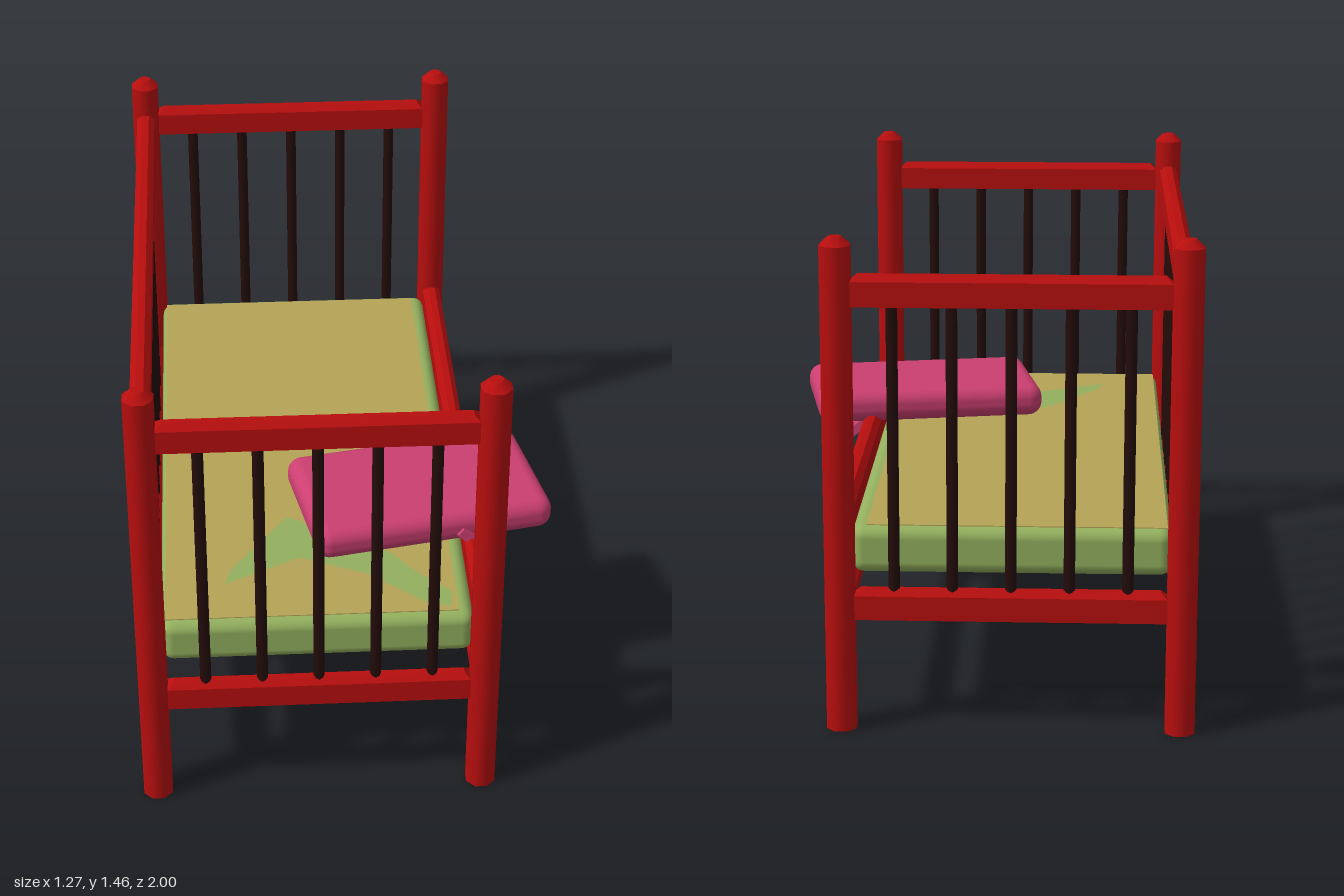
import * as THREE from 'three';
import { RoundedBoxGeometry } from 'three/addons/geometries/RoundedBoxGeometry.js';

const paint = (name, color) => {
  const m = new THREE.MeshStandardMaterial({ color });
  m.name = name;
  return m;
};

export function createModel() {
  const bed = new THREE.Group();
  bed.name = 'cot';
  const red = paint('red frame', 0xb80e0e);
  const dark = paint('dark slats', 0x230c0a);
  const green = paint('green mattress', 0x93b05e);
  const tan = paint('tan sheet', 0xb5a356);
  const pink = paint('pink cushion', 0xcb3f70);

  const add = (name, geometry, material, x, y, z) => {
    const mesh = new THREE.Mesh(geometry, material);
    mesh.name = name;
    mesh.position.set(x, y, z);
    bed.add(mesh);
    return mesh;
  };

  // Rail: a box whose top edges are chamfered
  const rail = (name, w, h, d, x, y, z) => {
    const box = new THREE.BoxGeometry(w, h, d, 1, 2, 1);
    const p = box.attributes.position;
    const c = 0.018;
    for (let i = 0; i < p.count; i++) {
      if (Math.abs(p.getY(i)) < 1e-5) p.setY(i, h / 2 - c);
      else if (p.getY(i) > 0) {
        p.setX(i, p.getX(i) - Math.sign(p.getX(i)) * c);
        p.setZ(i, p.getZ(i) - Math.sign(p.getZ(i)) * c);
      }
    }
    const flat = box.toNonIndexed();
    flat.computeVertexNormals();
    add(name, flat, red, x, y, z);
  };

  const left = 0.385, right = -0.6, mid = (left + right) / 2, end = 0.955;

  // Corner posts with tapered tops
  for (const x of [left, right]) for (const z of [end, -end]) {
    const post = new THREE.CylinderGeometry(0.047, 0.047, 1.435, 8);
    const tip = new THREE.CylinderGeometry(0.02, 0.047, 0.025, 8);
    add('post', post, red, x, 0.7175, z).rotation.y = Math.PI / 8;
    add('postTip', tip, red, x, 1.4475, z).rotation.y = Math.PI / 8;
  }

  // End panels and the tall side
  const slat = new THREE.CylinderGeometry(0.0165, 0.0165, 0.86, 8);
  for (const z of [end, -end]) {
    rail('endTopRail', 0.9, 0.09, 0.056, mid, 1.308, z);
    rail('endBottomRail', 0.9, 0.09, 0.056, mid, 0.385, z);
    for (let i = -2; i <= 2; i++) add('endSlat', slat, dark, mid + i * 0.168, 0.85, z);
  }
  rail('sideTopRail', 0.058, 0.09, 1.82, right, 1.308, 0);
  rail('sideBottomRail', 0.058, 0.09, 1.82, right, 0.385, 0);
  for (let i = -4; i <= 4; i++) add('sideSlat', slat, dark, right, 0.85, i * 0.162);

  // Lowered side
  rail('loweredTopRail', 0.058, 0.087, 1.82, left, 0.602, 0);
  rail('loweredBottomRail', 0.058, 0.056, 1.82, left, 0.368, 0);

  // Mattress with a sheet panel on its top and underside
  add('mattress', new RoundedBoxGeometry(0.925, 0.14, 1.84, 3, 0.035), green, mid, 0.53, -0.005);
  add('topSheet', new THREE.BoxGeometry(0.87, 0.004, 1.78), tan, mid - 0.015, 0.6, -0.005);
  add('underSheet', new THREE.BoxGeometry(0.84, 0.004, 1.74), tan, mid, 0.46, -0.005);

  // Bare patch of mattress beside the cushion
  const patch = new THREE.Shape([
    [-0.38, 0.73], [-0.36, 0.66], [-0.18, 0.4], [0.13, 0.6], [0.2, 0.7],
    [0.3, 0.8], [0.29, 0.87], [0.22, 0.85], [0.05, 0.7], [-0.15, 0.61],
  ].map(([x, z]) => new THREE.Vector2(x, -z)));
  add('barePatch', new THREE.ShapeGeometry(patch), green, 0, 0.605, 0).rotation.x = -Math.PI / 2;

  // Cushion and the flap hanging over the lowered side
  add('cushion', new RoundedBoxGeometry(0.745, 0.106, 0.45, 4, 0.045), pink, 0.23, 0.673, 0.38)
    .rotation.y = 0.19;
  add('flap', new THREE.BoxGeometry(0.17, 0.028, 0.43), pink, 0.408, 0.615, 0.385)
    .rotation.z = -0.7;

  return bed;
}
